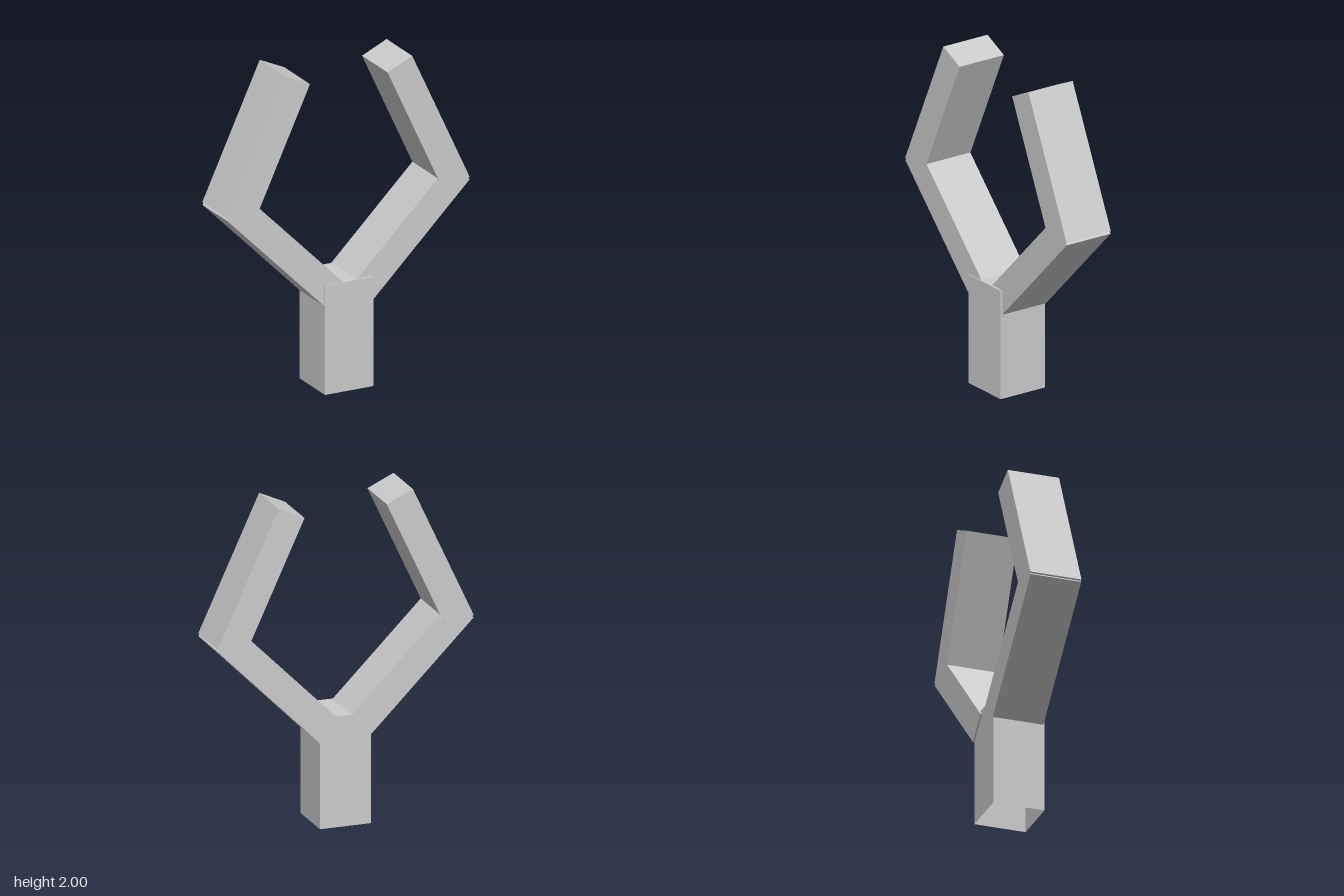
import * as THREE from 'three';

const material = new THREE.MeshStandardMaterial({ color: 0xcccccc, flatShading: true, side: THREE.DoubleSide });
const DEPTH = 0.314, WIDTH = 0.177;

// Square-ended beam whose outer edge runs from a to b; side = +1 or -1 arm
function beam(name, a, b, side, z, depth) {
  const dx = b[0] - a[0], dy = b[1] - a[1];
  const length = Math.hypot(dx, dy);
  const mesh = new THREE.Mesh(new THREE.BoxGeometry(WIDTH, length, depth), material);
  // centre lies half a width inward from the outer edge
  mesh.position.set(
    (a[0] + b[0]) / 2 - side * (dy / length) * WIDTH / 2,
    (a[1] + b[1]) / 2 + side * (dx / length) * WIDTH / 2,
    z
  );
  mesh.rotation.z = Math.atan2(-dx, dy);
  mesh.name = name;
  return mesh;
}

export function createModel() {
  const model = new THREE.Group();
  model.name = 'forkedPost';

  // Hollow post, closed on top and open underneath
  const postGeometry = new THREE.BoxGeometry(0.315, 0.672, DEPTH);
  const index = Array.from(postGeometry.index.array);
  index.splice(18, 6); // remove the bottom face
  postGeometry.setIndex(index);
  postGeometry.clearGroups();
  const post = new THREE.Mesh(postGeometry, material);
  post.position.set(-0.002, 0.336, 0.005);
  post.name = 'post';
  model.add(post);

  // Bent arms: a lower beam leaning out, an upper beam leaning back in
  const arms = [
    { name: 'leftArm', side: 1, z: -0.006, root: [0.155, 0.52], elbow: [0.79, 1.155], tip: [0.415, 1.98] },
    { name: 'rightArm', side: -1, z: 0, root: [-0.16, 0.543], elbow: [-0.79, 1.175], tip: [-0.415, 2.0] },
  ];
  for (const { name, side, z, root, elbow, tip } of arms) {
    const arm = new THREE.Group();
    arm.name = name;
    arm.add(beam(name + 'Lower', root, elbow, side, z, DEPTH - 0.003));
    arm.add(beam(name + 'Upper', [elbow[0], elbow[1] + 0.015], tip, side, z, DEPTH));
    model.add(arm);
  }
  return model;
}
